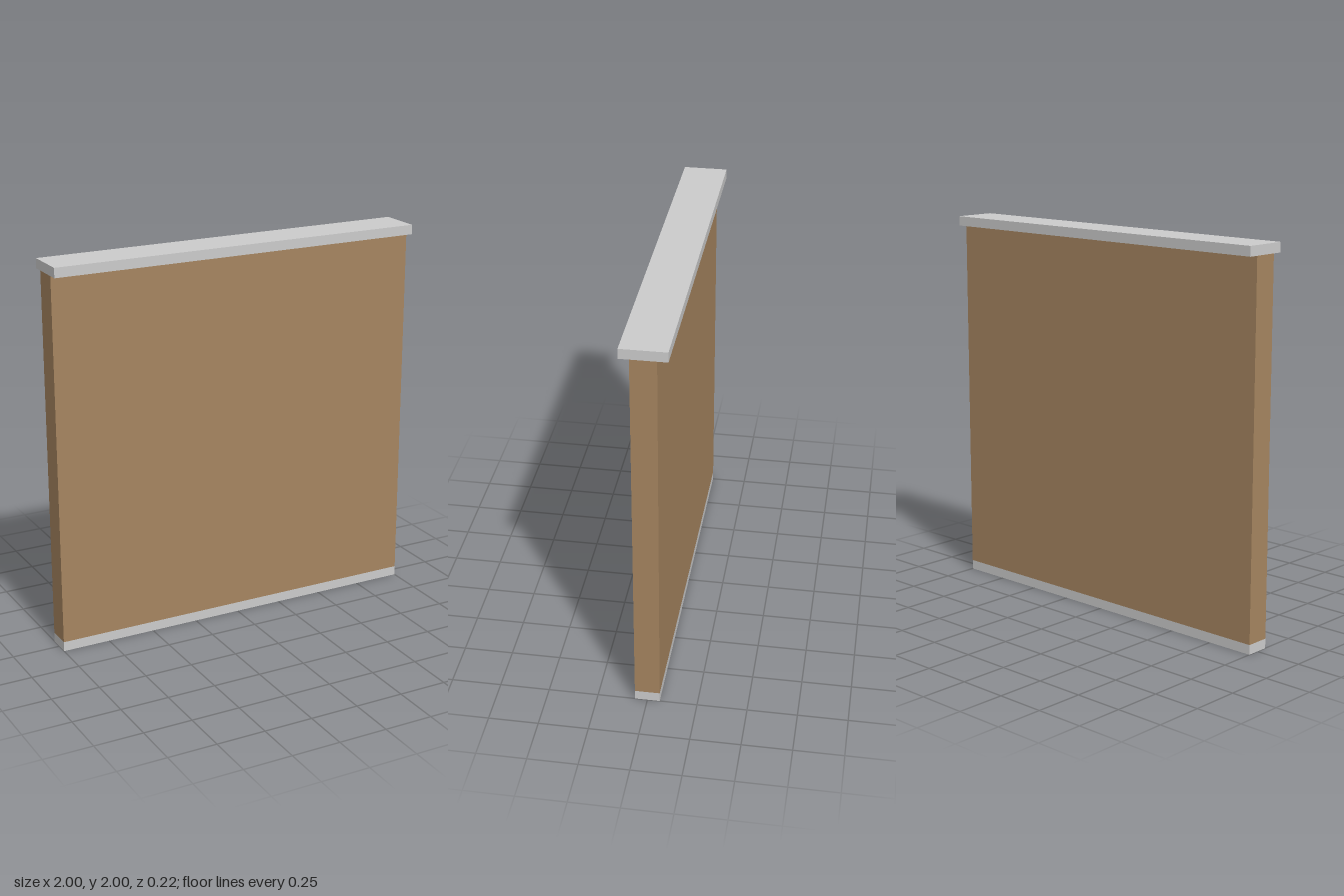
import * as THREE from 'three';

const LENGTH = 2;
const WALL_DEPTH = 0.125;
const CAP_DEPTH = 0.225;
const TRIM = 0.05; // height of the base strip and of the cap

export function createModel() {
  const model = new THREE.Group();
  model.name = 'wallPanel';

  const grey = new THREE.MeshStandardMaterial({ color: 0xcccccc });
  const brown = new THREE.MeshStandardMaterial({ color: 0xa68560 });

  // Adds a box standing on the given height
  const addBox = (name, bottom, height, depth, material) => {
    const mesh = new THREE.Mesh(new THREE.BoxGeometry(LENGTH, height, depth), material);
    mesh.name = name;
    mesh.position.y = bottom + height / 2;
    model.add(mesh);
  };

  // Grey strip at the foot, flush with the wall
  addBox('baseStrip', 0, TRIM, WALL_DEPTH, grey);

  // Brown wall
  addBox('wall', TRIM, 2 - 2 * TRIM, WALL_DEPTH, brown);

  // Overhanging cap, grey with a brown underside (faces: +x, -x, +y, -y, +z, -z)
  addBox('cap', 2 - TRIM, TRIM, CAP_DEPTH, [grey, grey, grey, brown, grey, grey]);

  return model;
}
